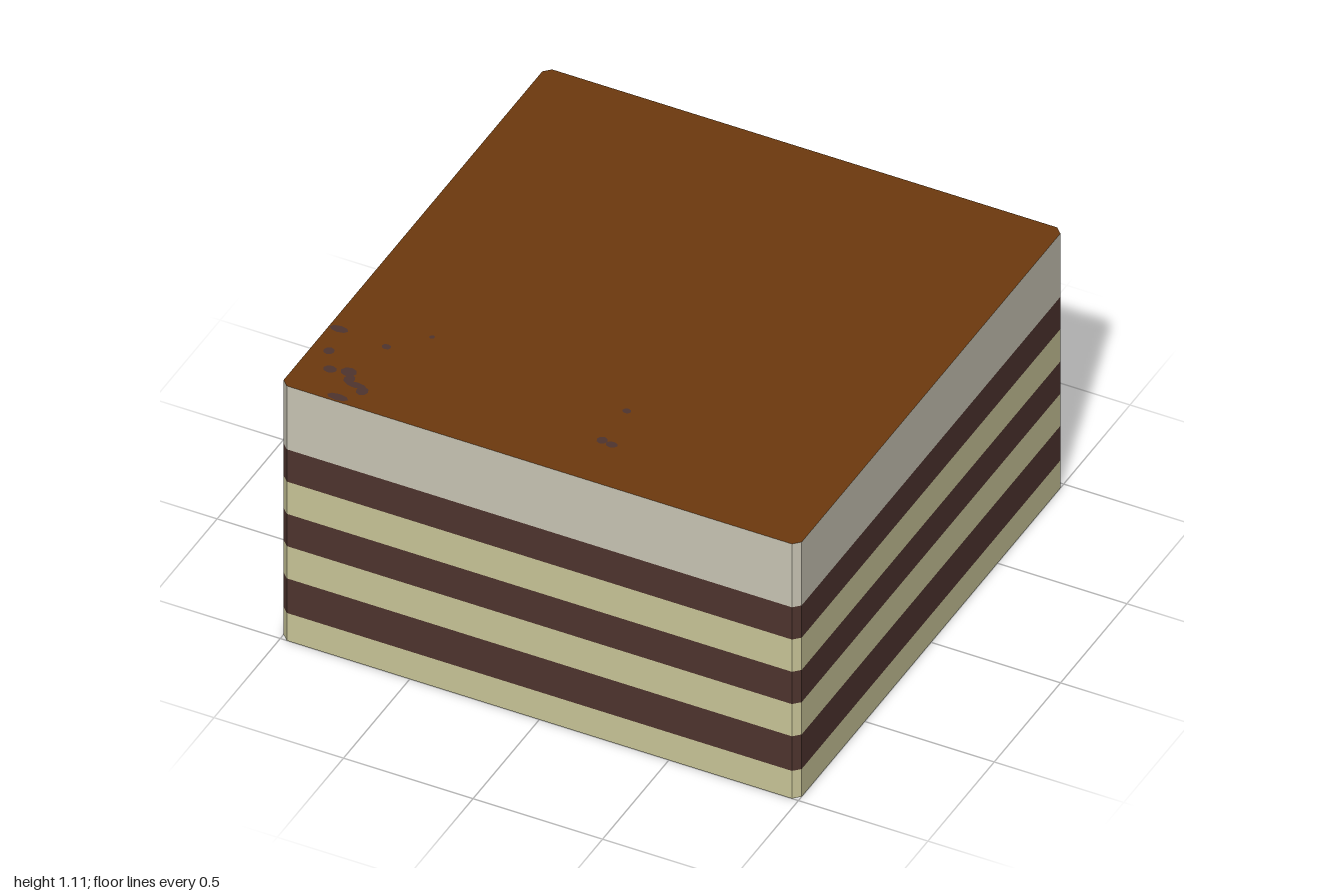
import * as THREE from 'three';

const paint = (name, color) => {
  const m = new THREE.MeshStandardMaterial({ color });
  m.name = name;
  return m;
};

// Square outline with small cut corners
function sliceOutline(half, cut) {
  const a = half, b = half - cut;
  return new THREE.Shape([
    [b, -a], [a, -b], [a, b], [b, a], [-b, a], [-a, b], [-a, -b], [-b, -a],
  ].map(([x, y]) => new THREE.Vector2(x, y)));
}

export function createModel() {
  const cake = new THREE.Group();
  cake.name = 'layerCake';

  const cream = paint('cream', 0xc8c497);
  const sponge = paint('darkSponge', 0x4e342e);
  const topping = paint('whippedTopping', 0xc8c4b4);
  const cocoa = paint('cocoa', 0x6d390e);

  // Layers from the bottom up: name, lower height, upper height, side, caps
  const outline = sliceOutline(1, 0.025);
  const layers = [
    ['lowerCream', 0, 0.12, cream, cocoa],
    ['lowerSponge', 0.12, 0.27, sponge, sponge],
    ['middleCream', 0.27, 0.41, cream, cream],
    ['middleSponge', 0.41, 0.55, sponge, sponge],
    ['upperCream', 0.55, 0.69, cream, cream],
    ['upperSponge', 0.69, 0.83, sponge, sponge],
    ['cocoaTopping', 0.83, 1.105, topping, cocoa],
  ];
  for (const [name, y0, y1, side, caps] of layers) {
    const geometry = new THREE.ExtrudeGeometry(outline, { depth: y1 - y0, bevelEnabled: false });
    geometry.rotateX(-Math.PI / 2);
    const layer = new THREE.Mesh(geometry, [caps, side]);
    layer.name = name;
    layer.position.y = y0;
    cake.add(layer);
  }

  // Dark crumbs on the cocoa: x, z, half width, half depth
  const crumbs = [
    [-0.96, 0.635, 0.035, 0.018], [-0.935, 0.76, 0.02, 0.02], [-0.885, 0.85, 0.025, 0.02],
    [-0.82, 0.835, 0.03, 0.025], [-0.8, 0.87, 0.02, 0.025], [-0.765, 0.89, 0.04, 0.016],
    [-0.73, 0.91, 0.022, 0.024], [-0.79, 0.978, 0.04, 0.018], [-0.77, 0.65, 0.017, 0.015],
    [-0.655, 0.53, 0.01, 0.01], [0.13, 0.595, 0.016, 0.014], [0.13, 0.78, 0.02, 0.02],
    [0.17, 0.787, 0.022, 0.017],
  ];
  const crumbShape = new THREE.CircleGeometry(1, 8).rotateX(-Math.PI / 2);
  for (const [x, z, w, d] of crumbs) {
    const crumb = new THREE.Mesh(crumbShape, sponge);
    crumb.name = 'cocoaCrumb';
    crumb.position.set(x, 1.107, z);
    crumb.scale.set(w, 1, d);
    cake.add(crumb);
  }
  return cake;
}
